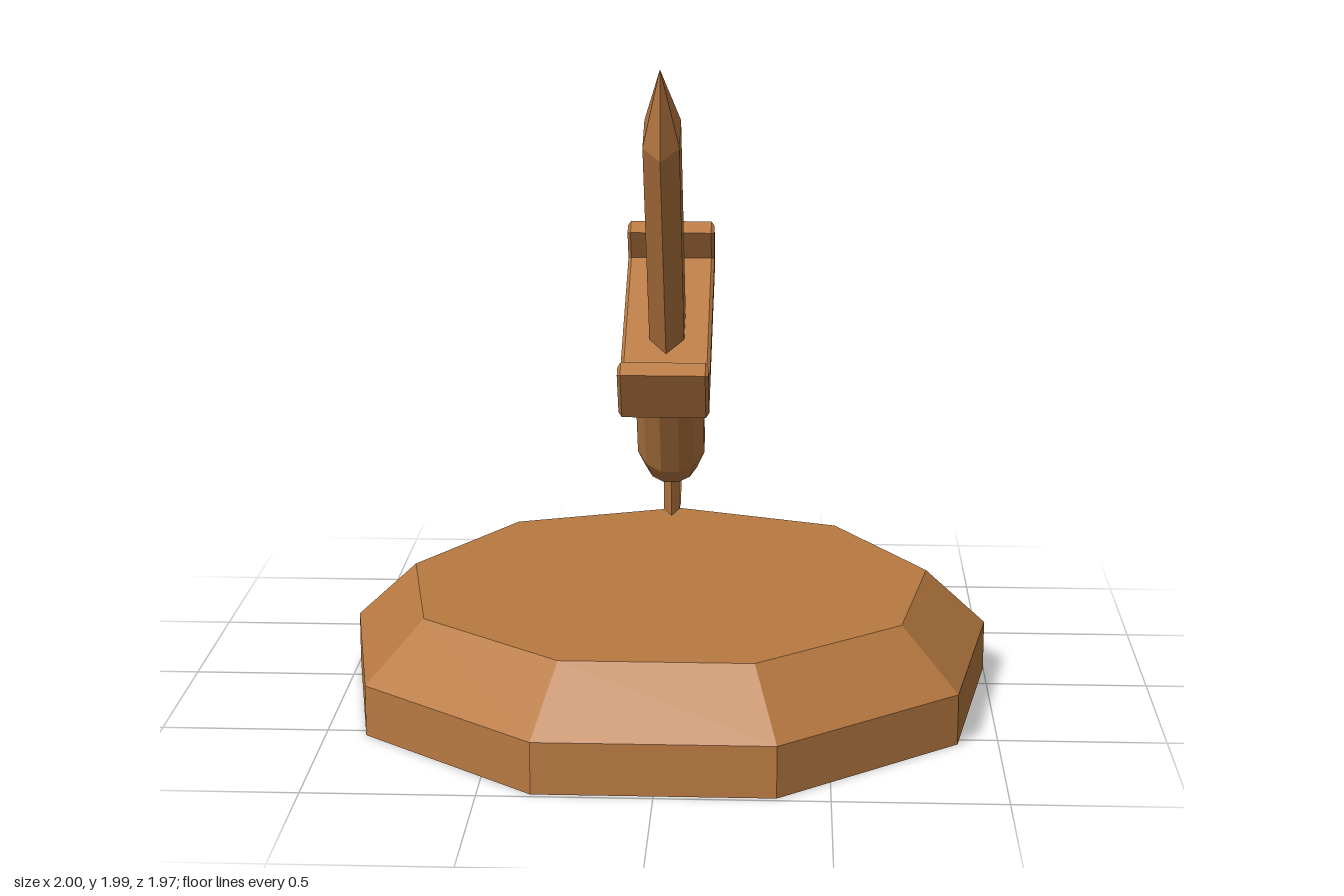
import * as THREE from 'three';

const material = new THREE.MeshStandardMaterial({ color: 0xb97a42, flatShading: true, roughness: 0.8 });

function part(name, geometry) {
  const mesh = new THREE.Mesh(geometry, material);
  mesh.name = name;
  return mesh;
}

// Faceted solid of revolution, profile given as [radius, height] from bottom to top
function faceted(profile, sides) {
  return new THREE.LatheGeometry(profile.map(([r, y]) => new THREE.Vector2(r, y)), sides);
}

export function createModel() {
  const model = new THREE.Group();
  model.name = 'swordOnPlinth';

  // Nine-sided plinth with a sloped upper edge, one corner pointing back
  const plinth = part('plinth', faceted([[0, 0], [1.015, 0], [1.015, 0.155], [0.8225, 0.335], [0, 0.335]], 9).rotateY(Math.PI));
  plinth.position.z = 0.03;
  model.add(plinth);

  // Floating sword, leaning forward; its own y runs along the blade
  const sword = new THREE.Group();
  sword.name = 'sword';
  sword.rotation.x = Math.PI / 6;
  model.add(sword);

  // Blade: flattened hexagon drawn to a point
  const blade = part('blade', faceted([[0, 1], [1, 1], [1, 1.77], [0, 2]], 6).scale(0.061, 1, 0.13));
  blade.position.z = -0.525;
  sword.add(blade);

  // Grip: twelve-sided oval with a tapered pommel end
  const grip = part('grip', faceted([[0, 0.425], [0.77, 0.425], [1, 0.5], [1, 0.98], [0, 0.98]], 12)
    .rotateY(Math.PI / 12).scale(0.109, 1, 0.127));
  grip.position.z = -0.548;
  sword.add(grip);

  // Crossguard: wide bar with upturned ends and slightly bevelled sides
  const w = 0.352, inner = 0.295, low = 0.965, mid = 1.034, high = 1.135;
  const outline = new THREE.Shape([
    [-w, low], [w, low], [w, high], [inner, high],
    [inner, mid], [-inner, mid], [-inner, high], [-w, high],
  ].map(([x, y]) => new THREE.Vector2(x, y)));
  const guardGeometry = new THREE.ExtrudeGeometry(outline, {
    depth: 0.25, bevelEnabled: true, bevelThickness: 0.01, bevelSize: 0.01, bevelOffset: -0.01, bevelSegments: 1,
  });
  const guard = part('crossguard', guardGeometry.translate(0, 0, -0.125).rotateY(Math.PI / 2));
  guard.position.z = -0.543;
  sword.add(guard);

  // Five-sided pommel ring with a diamond section, one corner pointing down
  const ring = part('pommelRing', new THREE.TorusGeometry(0.098, 0.025, 4, 5).rotateZ(-Math.PI / 2).rotateY(Math.PI / 2));
  ring.position.set(0, 0.329, -0.552);
  sword.add(ring);

  return model;
}
